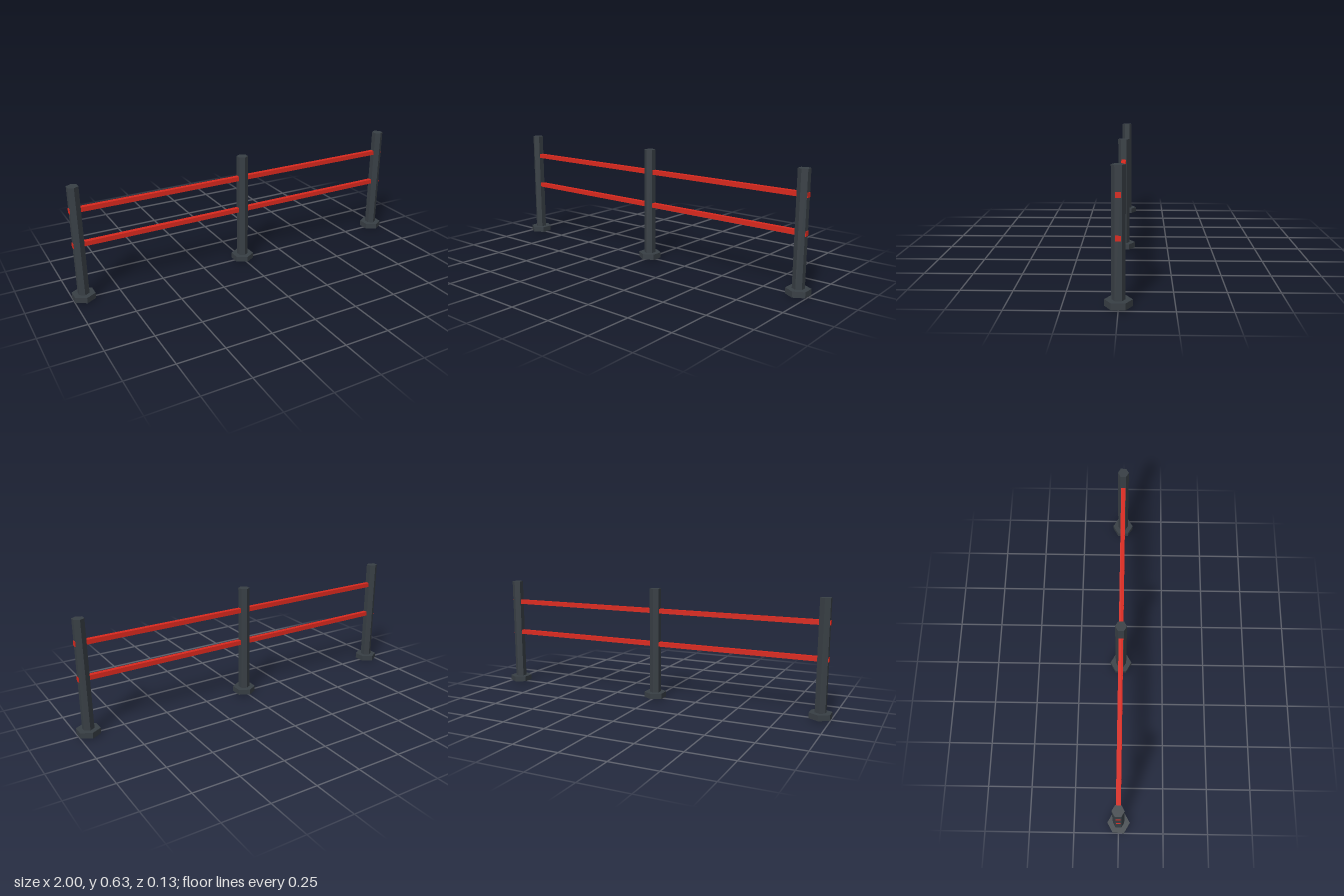
import * as THREE from 'three';

export function createModel() {
  const model = new THREE.Group();
  model.name = 'barrier';

  const darkGrey = new THREE.MeshStandardMaterial({ color: 0x383f45, flatShading: true });
  darkGrey.name = 'dark grey';
  const red = new THREE.MeshStandardMaterial({ color: 0xdb291e, flatShading: true });
  red.name = 'red';

  const add = (name, geometry, material, x, y) => {
    const mesh = new THREE.Mesh(geometry, material);
    mesh.name = name;
    mesh.position.set(x, y, 0);
    model.add(mesh);
  };

  // Hexagonal posts standing in wider hexagonal feet
  const postGeometry = new THREE.CylinderGeometry(0.0315, 0.0315, 0.63, 6);
  const footGeometry = new THREE.CylinderGeometry(0.063, 0.063, 0.031, 6);
  for (const [side, x] of [['right', -0.945], ['middle', 0], ['left', 0.945]]) {
    add(side + 'Post', postGeometry, darkGrey, x, 0.315);
    add(side + 'Foot', footGeometry, darkGrey, x, 0.0195);
  }

  // Square rails running through all posts, ends just proud of the outer ones
  const railGeometry = new THREE.BoxGeometry(1.952, 0.025, 0.025);
  add('lowerRail', railGeometry, red, 0, 0.315);
  add('upperRail', railGeometry, red, 0, 0.504);

  return model;
}
